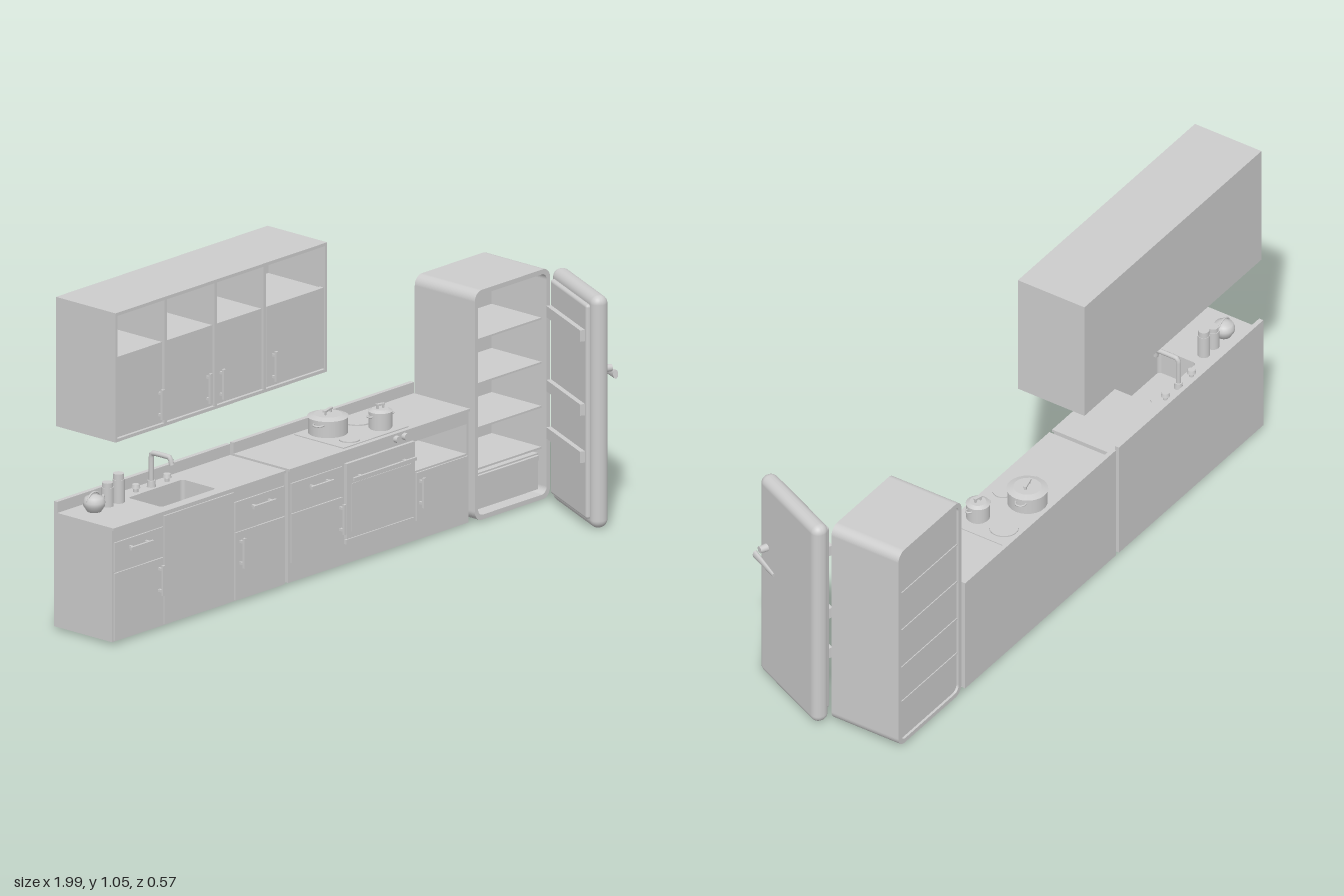
import * as THREE from 'three';
import { RoundedBoxGeometry } from 'three/addons/geometries/RoundedBoxGeometry.js';

const mat = new THREE.MeshStandardMaterial({ color: 0xcccccc });
const matThin = new THREE.MeshStandardMaterial({ color: 0xcccccc, side: THREE.DoubleSide });
const BACK = -0.283, FRONT = -0.045, TOP = 0.37;

function add(parent, name, geo, x = 0, y = 0, z = 0, m = mat) {
  const mesh = new THREE.Mesh(geo, m);
  mesh.name = name;
  mesh.position.set(x, y, z);
  parent.add(mesh);
  return mesh;
}
function group(parent, name) {
  const g = new THREE.Group();
  g.name = name;
  parent.add(g);
  return g;
}
// box from its minimum and maximum corners
function box(parent, name, x0, x1, y0, y1, z0, z1) {
  return add(parent, name, new THREE.BoxGeometry(x1 - x0, y1 - y0, z1 - z0), (x0 + x1) / 2, (y0 + y1) / 2, (z0 + z1) / 2);
}
function cyl(parent, name, r0, r1, h, x, y, z) {
  return add(parent, name, new THREE.CylinderGeometry(r1, r0, h, 24), x, y + h / 2, z);
}
// bar handle on two short posts, centred on (x, y), standing off a front face
function barHandle(parent, x, y, length, vertical, z = -0.04) {
  const g = group(parent, 'handle');
  box(g, 'handleBar', -length / 2, length / 2, -0.005, 0.005, 0.014, 0.022);
  for (const s of [-1, 1]) box(g, 'handlePost', s * length * 0.36 - 0.004, s * length * 0.36 + 0.004, -0.004, 0.004, 0, 0.016);
  g.position.set(x, y, z);
  if (vertical) g.rotation.z = Math.PI / 2;
}
function front(parent, name, x0, x1, y0, y1) {
  box(parent, name, x0, x1, y0, y1, FRONT - 0.002, -0.04);
}
function roundedRect(S, x0, x1, y0, y1, r) {
  const s = new S();
  s.moveTo(x0 + r, y0);
  s.lineTo(x1 - r, y0); s.absarc(x1 - r, y0 + r, r, -Math.PI / 2, 0);
  s.lineTo(x1, y1 - r); s.absarc(x1 - r, y1 - r, r, 0, Math.PI / 2);
  s.lineTo(x0 + r, y1); s.absarc(x0 + r, y1 - r, r, Math.PI / 2, Math.PI);
  s.lineTo(x0, y0 + r); s.absarc(x0 + r, y0 + r, r, Math.PI, Math.PI * 1.5);
  return s;
}
function tube(parent, name, pts, r) {
  const curve = new THREE.CatmullRomCurve3(pts.map(p => new THREE.Vector3(...p)), false, 'catmullrom', 0.2);
  return add(parent, name, new THREE.TubeGeometry(curve, 24, r, 10), 0, 0, 0, matThin);
}

function wallCabinet(root) {
  const g = group(root, 'wallCabinet');
  const walls = [-0.99, -0.765, -0.54, -0.32, -0.04], t = 0.01;
  box(g, 'cabinetBack', -0.99, -0.04, 0.64, 1.05, BACK, BACK + 0.012);
  box(g, 'cabinetTop', -0.99, -0.04, 1.04, 1.05, BACK, -0.04);
  box(g, 'cabinetBottom', -0.99, -0.04, 0.64, 0.65, BACK, -0.04);
  box(g, 'cabinetBody', -0.985, -0.045, 0.645, 0.905, BACK + 0.005, -0.058);
  walls.forEach((x, i) => {
    const x0 = i === 0 ? x : i === 4 ? x - t : x - t / 2;
    box(g, 'cabinetDivider', x0, x0 + t, 0.645, 1.045, BACK, -0.04);
  });
  for (let i = 0; i < 4; i++) box(g, 'cabinetDoor', walls[i] + 0.011, walls[i + 1] - 0.011, 0.653, 0.908, -0.06, -0.044);
  for (const x of [-0.79, -0.575, -0.515, -0.28]) barHandle(g, x, 0.715, 0.095, true, -0.047);
}

function sinkUnit(root) {
  const g = group(root, 'sinkUnit');
  const L = -1, R = -0.225;
  box(g, 'sinkUnitBase', L, R, 0.008, 0.28, BACK, FRONT);
  // worktop block with the basin cut out
  const s = new THREE.Shape([[L, 0.045], [R, 0.045], [R, 0.283], [L, 0.283]].map(p => new THREE.Vector2(...p)));
  s.holes.push(roundedRect(THREE.Path, -0.745, -0.50, 0.075, 0.212, 0.012));
  const geo = new THREE.ExtrudeGeometry(s, { depth: 0.09, bevelEnabled: false });
  add(g, 'worktopWithBasin', geo, 0, 0.28, 0).rotation.x = -Math.PI / 2;
  cyl(g, 'drain', 0.014, 0.014, 0.003, -0.62, 0.28, -0.145);
  box(g, 'worktopEdge', L, R, 0.362, TOP, FRONT, -0.039);
  box(g, 'splashback', L, R, TOP, 0.405, BACK, -0.268);
  front(g, 'drawerFront', -0.993, -0.775, 0.23, 0.322);
  front(g, 'door', -0.993, -0.775, 0.012, 0.225);
  front(g, 'middlePanel', -0.77, -0.458, 0.012, 0.355);
  front(g, 'drawerFront', -0.452, -0.23, 0.23, 0.322);
  front(g, 'door', -0.452, -0.23, 0.012, 0.225);
  barHandle(g, -0.89, 0.295, 0.1, false);
  barHandle(g, -0.34, 0.295, 0.1, false);
  barHandle(g, -0.795, 0.16, 0.095, true);
  barHandle(g, -0.43, 0.16, 0.095, true);

  const tap = group(g, 'tap');
  cyl(tap, 'tapBase', 0.014, 0.012, 0.02, -0.615, TOP, -0.235);
  tube(tap, 'spout', [[-0.615, TOP, -0.235], [-0.615, 0.468, -0.235], [-0.615, 0.478, -0.225], [-0.615, 0.478, -0.16], [-0.615, 0.455, -0.152]], 0.008);
  for (const x of [-0.685, -0.545]) {
    cyl(tap, 'tapStem', 0.008, 0.008, 0.016, x, TOP, -0.235);
    cyl(tap, 'tapKnob', 0.014, 0.011, 0.012, x, 0.382, -0.235);
  }

  const bowl = [[0, 0], [0.022, 0], [0.033, 0.018], [0.034, 0.03], [0.028, 0.044], [0.012, 0.05], [0, 0.051]];
  const kettle = group(g, 'kettle');
  kettle.position.set(-0.91, TOP, -0.2);
  add(kettle, 'kettleBody', new THREE.LatheGeometry(bowl.map(p => new THREE.Vector2(...p)), 24), 0, 0, 0, matThin);
  add(kettle, 'kettleHandle', new THREE.TorusGeometry(0.03, 0.003, 8, 20, Math.PI), 0, 0.03, 0);
  tube(kettle, 'kettleSpout', [[0.025, 0.02, 0], [0.037, 0.03, 0], [0.043, 0.042, 0]], 0.005);
  for (const [x, h] of [[-0.845, 0.075], [-0.795, 0.092]]) {
    cyl(g, 'jar', 0.019, 0.019, h * 0.8, x, TOP, -0.205);
    cyl(g, 'jarLid', 0.017, 0.017, h * 0.2, x, TOP + h * 0.8, -0.205);
  }
}

function pot(parent, x, z, r, h, angle) {
  const g = group(parent, 'pot');
  g.position.set(x, TOP + 0.007, z);
  g.rotation.y = angle;
  cyl(g, 'potBody', r, r, h, 0, 0, 0);
  cyl(g, 'potLid', r * 1.04, r * 0.7, 0.007, 0, h, 0);
  const bar = r * 0.4;
  box(g, 'lidGrip', -bar, bar, h + 0.016, h + 0.022, -0.005, 0.005);
  for (const s of [-1, 1]) {
    box(g, 'gripPost', s * bar * 0.7 - 0.003, s * bar * 0.7 + 0.003, h, h + 0.018, -0.003, 0.003);
    const ring = add(g, 'potHandle', new THREE.TorusGeometry(r * 0.27, 0.003, 8, 16), s * r, h * 0.75, 0);
    ring.rotation.x = Math.PI / 2;
  }
}

function stoveUnit(root) {
  const g = group(root, 'stoveUnit');
  const L = -0.21, R = 0.60, N = 0.357;
  box(g, 'stoveUnitBody', L, N, 0.008, TOP, BACK, FRONT);
  // open niche at the end of the run
  box(g, 'nicheBase', N, R, 0.008, 0.228, BACK, FRONT);
  box(g, 'nicheTop', N, R, 0.322, TOP, BACK, FRONT);
  box(g, 'nicheBack', N, R, 0.228, 0.322, BACK, -0.25);
  box(g, 'nicheSide', R - 0.01, R, 0.228, 0.322, BACK, FRONT);
  box(g, 'worktopEdge', L, R, 0.362, TOP, FRONT, -0.039);
  box(g, 'splashback', L, R, TOP, 0.405, BACK, -0.268);
  front(g, 'drawerFront', -0.2, 0.03, 0.23, 0.322);
  front(g, 'door', -0.2, 0.03, 0.07, 0.225);
  front(g, 'door', 0.362, 0.592, 0.07, 0.222);
  barHandle(g, -0.08, 0.295, 0.1, false);
  barHandle(g, 0.018, 0.16, 0.095, true);
  barHandle(g, 0.375, 0.16, 0.095, true);

  const oven = group(g, 'oven');
  box(oven, 'ovenDoor', 0.042, 0.348, 0.09, 0.328, FRONT, -0.034);
  box(oven, 'ovenDrawer', 0.042, 0.348, 0.072, 0.087, FRONT, -0.036);
  box(oven, 'ovenWindow', 0.062, 0.328, 0.11, 0.262, FRONT, -0.032);
  barHandle(oven, 0.195, 0.28, 0.28, false, -0.036);
  for (const x of [0.268, 0.305]) cyl(oven, 'knob', 0.011, 0.011, 0.014, x, 0.346, -0.034).rotation.x = Math.PI / 2;

  const hob = group(g, 'hob');
  box(hob, 'hobPlate', 0.05, 0.342, TOP, TOP + 0.003, -0.258, -0.055);
  for (const [x, z, r] of [[0.125, -0.19, 0.045], [0.27, -0.105, 0.032], [0.12, -0.095, 0.032], [0.27, -0.2, 0.045]])
    cyl(hob, 'burner', r, r, 0.004, x, TOP + 0.003, z);
  pot(hob, 0.125, -0.187, 0.061, 0.052, 0.25);
  pot(hob, 0.27, -0.105, 0.036, 0.052, -0.25);
}

function fridge(root) {
  const g = group(root, 'fridge');
  const x0 = 0.62, x1 = 0.958, y0 = 0.006, y1 = 0.735;
  const shell = roundedRect(THREE.Shape, x0, x1, y0, y1, 0.032);
  shell.holes.push(roundedRect(THREE.Path, x0 + 0.015, x1 - 0.015, y0 + 0.015, y1 - 0.015, 0.022));
  add(g, 'fridgeShell', new THREE.ExtrudeGeometry(shell, { depth: 0.245, bevelEnabled: false, curveSegments: 10 }), 0, 0, BACK);
  box(g, 'fridgeBack', x0 + 0.008, x1 - 0.008, y0 + 0.012, y1 - 0.012, BACK + 0.008, BACK + 0.02);
  for (const y of [0.16, 0.29, 0.43, 0.57]) box(g, 'shelf', x0 + 0.01, x1 - 0.01, y - 0.003, y + 0.003, BACK + 0.005, -0.06);
  box(g, 'crisperDrawer', x0 + 0.025, x1 - 0.025, 0.03, 0.145, -0.25, -0.065);
  box(g, 'crisperLip', x0 + 0.03, x1 - 0.03, 0.125, 0.14, -0.068, -0.055);
  box(g, 'lampBox', x0 + 0.012, x0 + 0.03, 0.61, 0.64, -0.15, -0.06);

  // open door, hinged on the right-hand edge
  const door = group(g, 'fridgeDoor');
  door.position.set(0.955, 0, -0.032);
  door.rotation.y = THREE.MathUtils.degToRad(65);
  add(door, 'doorPanel', new RoundedBoxGeometry(0.335, 0.737, 0.055, 5, 0.026), -0.168, 0.3685, 0.026);
  add(door, 'doorLiner', new RoundedBoxGeometry(0.285, 0.68, 0.02, 3, 0.009), -0.168, 0.3685, -0.004);
  for (const y of [0.225, 0.375, 0.61]) box(door, 'doorShelf', -0.3, -0.036, y - 0.018, y + 0.018, -0.03, 0);
  const handle = group(door, 'doorHandle');
  cyl(handle, 'handleMount', 0.013, 0.011, 0.035, -0.285, 0.475, 0.062).rotation.x = Math.PI / 2;
  const lever = add(handle, 'handleLever', new THREE.CylinderGeometry(0.007, 0.014, 0.11, 16), -0.242, 0.468, 0.088);
  lever.rotation.set(0, 0, -Math.PI / 2 - 0.1);
  lever.scale.z = 0.6;
}

export function createModel() {
  const root = new THREE.Group();
  root.name = 'kitchen';
  wallCabinet(root);
  sinkUnit(root);
  stoveUnit(root);
  fridge(root);
  return root;
}
